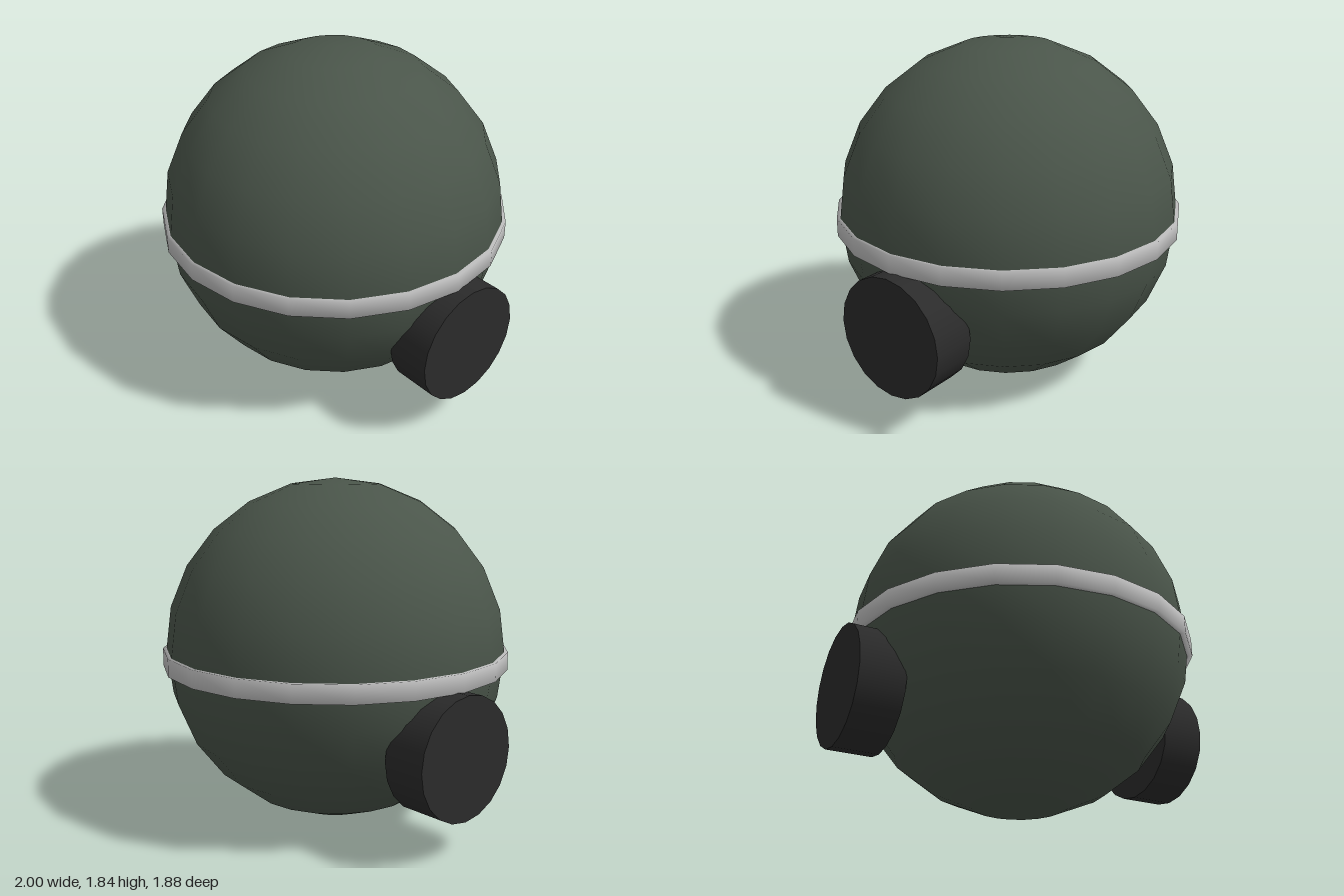
import * as THREE from 'three';

export function createModel() {
  const group = new THREE.Group();
  const material = (name, color) => {
    const m = new THREE.MeshStandardMaterial({ color });
    m.name = name;
    return m;
  };
  const green = material('dark green', 0x4a554a);
  const silver = material('silver', 0xc0c0c0);
  const black = material('black', 0x2b2b2b);

  const add = (name, geometry, mat, x, y, z) => {
    const mesh = new THREE.Mesh(geometry, mat);
    mesh.name = name;
    mesh.position.set(x, y, z);
    group.add(mesh);
    return mesh;
  };

  // Round body
  add('body', new THREE.SphereGeometry(0.92, 20, 12), green, 0, 0.92, 0);

  // Band around the middle, with softly shaded rims
  const profile = [[0.9, -0.048], [0.938, -0.048], [0.938, 0.048], [0.9, 0.048]]
    .map(([r, y]) => new THREE.Vector2(r, y));
  add('band', new THREE.LatheGeometry(profile, 20), silver, 0, 0.883, 0);

  // Side wheels, mirrored
  const wheel = new THREE.CylinderGeometry(0.318, 0.318, 0.24, 20).rotateZ(Math.PI / 2);
  for (const side of [1, -1]) {
    add(side > 0 ? 'leftWheel' : 'rightWheel', wheel, black, side * 0.88, 0.522, -0.04);
  }
  return group;
}
